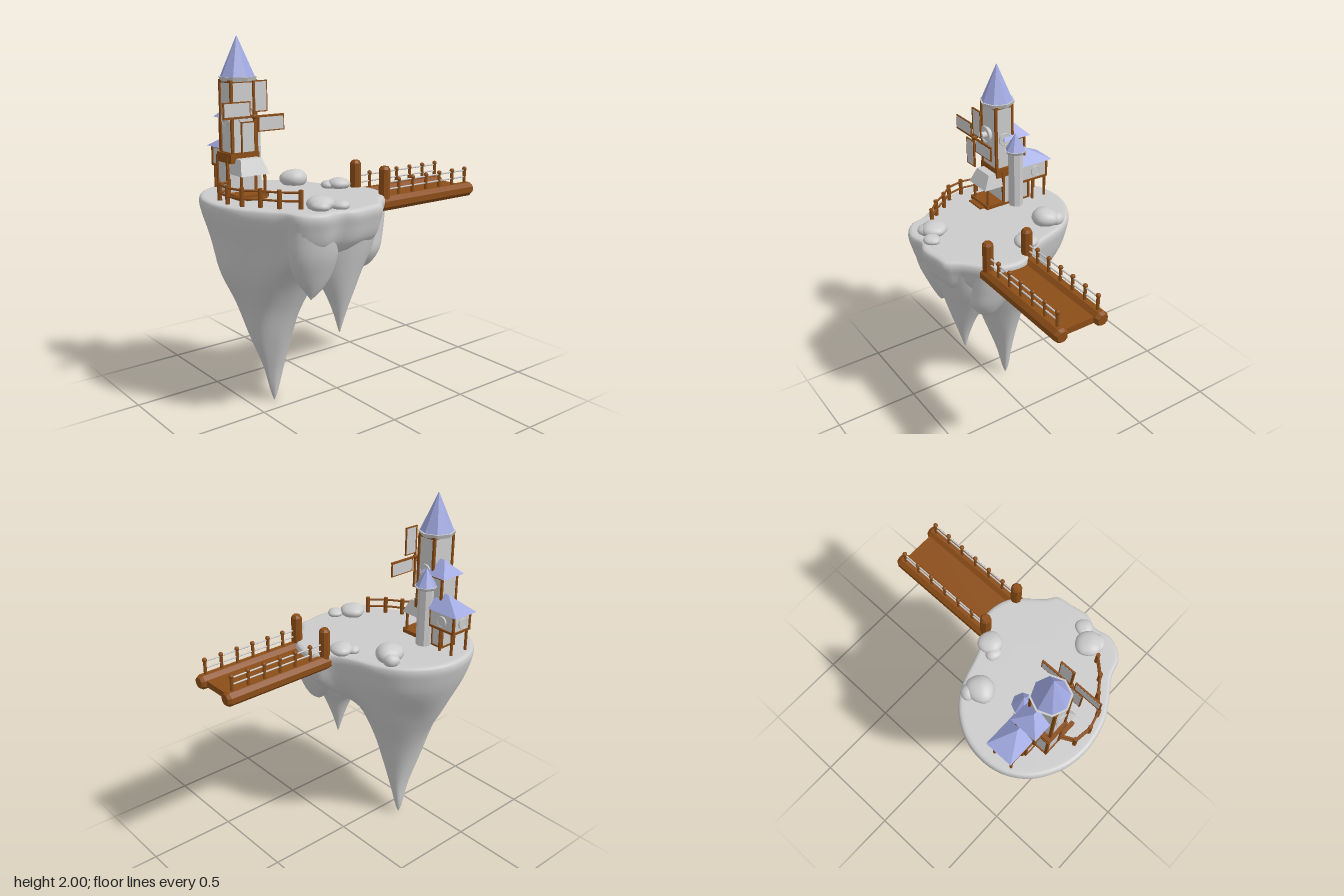
import * as THREE from 'three';

const grey = new THREE.MeshStandardMaterial({ color: 0xcccccc, side: THREE.DoubleSide });
const brown = new THREE.MeshStandardMaterial({ color: 0x8b4d17 });
const blue = new THREE.MeshStandardMaterial({ color: 0xa0a8e0 });
const V = (x, y, z) => new THREE.Vector3(x, y, z);
const GROUND = 1.18;

function add(parent, name, geo, mat, x = 0, y = 0, z = 0) {
  const m = new THREE.Mesh(geo, mat);
  m.name = name;
  m.position.set(x, y, z);
  parent.add(m);
  return m;
}
function group(parent, name) {
  const g = new THREE.Group();
  g.name = name;
  parent.add(g);
  return g;
}
const flat = (geo) => { const g = geo.toNonIndexed(); g.computeVertexNormals(); return g; };

// Box given by its limits on each axis
function block(parent, name, mat, x0, x1, y0, y1, z0, z1) {
  return add(parent, name, new THREE.BoxGeometry(x1 - x0, y1 - y0, z1 - z0), mat, (x0 + x1) / 2, (y0 + y1) / 2, (z0 + z1) / 2);
}
// Round bar between two points
function bar(parent, name, mat, a, b, r, sides = 8) {
  const m = add(parent, name, new THREE.CylinderGeometry(r, r, a.distanceTo(b), sides), mat);
  m.position.copy(a).lerp(b, 0.5);
  m.quaternion.setFromUnitVectors(V(0, 1, 0), b.clone().sub(a).normalize());
  return m;
}
// Skin closed rings, listed from the bottom up
function skin(rows) {
  const n = rows[0].length, pos = [], idx = [];
  rows.forEach((r) => r.forEach((p) => pos.push(p.x, p.y, p.z)));
  for (let j = 0; j < rows.length - 1; j++) for (let i = 0; i < n; i++) {
    const k = (i + 1) % n, a = j * n + i, b = j * n + k;
    idx.push(a, a + n, b, b, a + n, b + n);
  }
  const g = new THREE.BufferGeometry();
  g.setAttribute('position', new THREE.Float32BufferAttribute(pos, 3));
  g.setIndex(idx);
  g.computeVertexNormals();
  return g;
}
// Smooth vertical interpolation between section rings
function loft(sections, steps) {
  const cols = sections[0].map((_, i) => new THREE.CatmullRomCurve3(sections.map((s) => s[i])).getPoints(steps));
  return Array.from({ length: steps + 1 }, (_, j) => cols.map((c) => c[j]));
}
const ellipse = (n, [y, cx, cz, rx, rz]) => Array.from({ length: n }, (_, i) => {
  const t = i / n * Math.PI * 2;
  return V(cx + rx * Math.cos(t), y, cz + rz * Math.sin(t));
});

// Floating rock: plateau outline shrinking to a tip, with hanging spikes
function island(parent) {
  const g = group(parent, 'island'), N = 96, cx = -0.03, cz = 0.33;
  const outline = [[.08, -.145], [.16, -.155], [.26, -.125], [.32, -.07], [.41, .03], [.455, .06], [.47, .145], [.485, .255],
    [.455, .33], [.47, .43], [.41, .535], [.31, .57], [.22, .63], [.1, .70], [-.02, .73], [-.115, .735], [-.24, .71],
    [-.385, .622], [-.465, .5], [-.487, .37], [-.46, .235], [-.37, .10], [-.25, .02], [-.1, -.03], [.02, -.085]];
  const rim = new THREE.CatmullRomCurve3(outline.map(([x, z]) => V(x, 0, z)), true).getSpacedPoints(N).slice(0, N);
  const ring = (y, s) => rim.map((p) => V(cx + (p.x - cx) * s, y, cz + (p.z - cz) * s));
  const cone = ([y, x, z, rx, rz]) => rim.map((p) => {
    const t = Math.atan2(p.z - cz, p.x - cx);
    const k = 1 + 0.035 * Math.sin(t * 5 + y * 6);
    return V(x + rx * k * Math.cos(t), y, z + rz * k * Math.sin(t));
  });
  const rows = loft([
    ...[[0, -.1, .365, .003, .003], [.05, -.1, .365, .018, .02], [.2, -.093, .37, .043, .06], [.4, -.085, .385, .098, .125],
      [.6, -.08, .385, .17, .19], [.8, -.065, .38, .28, .28]].map(cone),
    ring(1.0, .91), ring(1.1, .98), ring(1.15, 1), ring(1.175, .985), ring(GROUND + .003, .95)], 48);
  rows.push(ring(GROUND + .003, .9), ring(GROUND + .003, .5), ring(GROUND + .003, .001));
  add(g, 'islandBody', skin(rows), grey);
  const spikes = [
    [[.48, .28, .2, .003, .003], [.6, .28, .2, .038, .038], [.72, .275, .2, .078, .088], [.82, .255, .2, .125, .14],
      [.95, .26, .19, .155, .19], [1.1, .29, .18, .16, .2]],
    [[.71, .31, .405, .003, .003], [.76, .31, .39, .033, .055], [.83, .31, .39, .065, .105], [.95, .33, .40, .09, .14],
      [1.1, .34, .41, .105, .145]],
    [[.79, .24, .02, .003, .003], [.825, .24, .02, .05, .05], [.9, .23, .01, .105, .085], [1, .2, -.01, .135, .1],
      [1.1, .19, -.01, .145, .12]]];
  spikes.forEach((s) => add(g, 'rockSpike', skin(loft(s.map((e) => ellipse(32, e)), 20)), grey));
}

// Lumpy boulders resting on the plateau
function boulders(parent) {
  const g = group(parent, 'boulders');
  const list = [[-.225, .125, .072, .08, .085], [-.275, .09, .048, .045, .06], [0, -.015, .065, .065, .055],
    [-.03, .035, .045, .04, .04], [.345, .37, .07, .07, .065], [.375, .395, .055, .05, .05], [.405, .29, .045, .048, .04]];
  list.forEach(([x, z, rx, rz, h], i) => {
    const geo = new THREE.SphereGeometry(1, 24, 16), p = geo.attributes.position;
    for (let k = 0; k < p.count; k++) {
      const v = V(0, 0, 0).fromBufferAttribute(p, k);
      v.multiplyScalar(1 + 0.06 * Math.sin(v.x * 3 + i * 2) * Math.cos(v.z * 3 + i));
      p.setXYZ(k, v.x * rx, v.y * h * .6, v.z * rz);
    }
    geo.computeVertexNormals();
    add(g, 'boulder', geo, grey, x, GROUND + h * .42, z);
  });
}

// Bridge with log beams, tall gate posts and rope railings
function bridge(parent) {
  const g = group(parent, 'bridge');
  block(g, 'deck', brown, .07, .265, 1.115, 1.15, -.713, -.05);
  for (const x of [.048, .288]) {
    const log = add(g, 'sideBeam', flat(new THREE.CylinderGeometry(.041, .041, .65, 8)), brown, x, 1.133, -.396);
    log.rotation.set(Math.PI / 2, Math.PI / 8, 0);
    for (const s of [-1, 1]) {
      const cap = add(g, 'beamEnd', flat(new THREE.CylinderGeometry(.03, .041, .018, 8)), brown, x, 1.133, -.396 + s * .334);
      cap.rotation.set(s * Math.PI / 2, s * Math.PI / 8, 0);
    }
    add(g, 'gatePost', flat(new THREE.CylinderGeometry(.03, .03, .2, 8)), brown, x, 1.215, -.093);
    add(g, 'gatePostCap', flat(new THREE.CylinderGeometry(.02, .03, .015, 8)), brown, x, 1.322, -.093);
    for (let i = 0; i < 6; i++) {
      const z = -.193 - .1 * i;
      bar(g, 'railPost', brown, V(x, 1.16, z), V(x, 1.25, z), .009);
      add(g, 'railKnob', new THREE.SphereGeometry(.013, 10, 8), brown, x, 1.25, z);
    }
    for (const y of [1.205, 1.242]) bar(g, 'railRope', grey, V(x, y, -.1), V(x, y, -.7), .0045);
  }
}

// Curved front fence
function fence(parent) {
  const g = group(parent, 'fence');
  const pts = [[-.147, .59], [-.108, .667], [-.01, .68], [.085, .655], [.155, .593], [.237, .537], [.308, .46]];
  pts.forEach(([x, z], i) => {
    bar(g, 'fencePost', brown, V(x, GROUND, z), V(x, 1.277, z), .012);
    if (!i) return;
    const [px, pz] = pts[i - 1];
    for (const y of [1.222, 1.264]) bar(g, 'fenceRail', brown, V(px, y, pz), V(x, y, z), .006);
  });
}

// Plaster box with timber corner posts and edge beams
function framed(parent, name, x0, x1, y0, y1, z0, z1, t = .012) {
  const g = group(parent, name), e = t / 2;
  block(g, 'walls', grey, x0 + e, x1 - e, y0 + e, y1 - e, z0 + e, z1 - e);
  for (const x of [x0, x1 - t]) for (const z of [z0, z1 - t]) block(g, 'cornerPost', brown, x, x + t, y0, y1, z, z + t);
  for (const y of [y0, y1 - t]) {
    for (const x of [x0, x1 - t]) block(g, 'sideBeam', brown, x, x + t, y, y + t, z0 + t, z1 - t);
    for (const z of [z0, z1 - t]) block(g, 'crossBeam', brown, x0 + t, x1 - t, y, y + t, z, z + t);
  }
}
// Hipped roof whose ridge spans r0..r1 along x and is topDepth deep
function hipRoof(parent, name, mat, x0, x1, y0, y1, z0, z1, r0, r1, topDepth = .001) {
  const geo = new THREE.BoxGeometry(1, 1, 1), p = geo.attributes.position, cz = (z0 + z1) / 2;
  for (let i = 0; i < p.count; i++) {
    const up = p.getY(i) > 0, right = p.getX(i) > 0, s = Math.sign(p.getZ(i));
    p.setXYZ(i, up ? (right ? r1 : r0) : (right ? x1 : x0), up ? y1 : y0, up ? cz + s * topDepth / 2 : (s > 0 ? z1 : z0));
  }
  add(parent, name, flat(geo), mat);
}
// Round window facing along a unit axis
function roundWindow(parent, pos, axis, r) {
  bar(parent, 'windowPane', grey, pos, pos.clone().addScaledVector(axis, .008), r, 20);
  const ring = add(parent, 'windowRing', new THREE.TorusGeometry(r - .002, .003, 8, 20), grey);
  ring.position.copy(pos).addScaledVector(axis, .007);
  ring.quaternion.setFromUnitVectors(V(0, 0, 1), axis);
}

function buildings(parent) {
  const g = group(parent, 'millHouse');
  // main tower
  framed(g, 'towerBase', -.25, -.14, GROUND, 1.395, .42, .60, .014);
  block(g, 'corbel', brown, -.245, -.105, 1.36, 1.41, .425, .597);
  framed(g, 'towerShaft', -.225, -.105, 1.4, 1.78, .432, .588, .014);
  add(g, 'towerEaves', flat(new THREE.CylinderGeometry(.1, .092, .022, 8)), grey, -.167, 1.784, .508);
  add(g, 'towerRoof', flat(new THREE.ConeGeometry(.092, .208, 8)), blue, -.167, 1.896, .508);
  roundWindow(g, V(-.165, 1.585, .582), V(0, 0, 1), .037);
  roundWindow(g, V(-.165, 1.585, .438), V(0, 0, -1), .037);
  // middle house, room on stilts and the store below it
  framed(g, 'middleHouse', -.3, -.2, 1.39, 1.58, .425, .55);
  hipRoof(g, 'middleRoof', blue, -.323, -.15, 1.58, 1.655, .412, .567, -.25, -.2);
  framed(g, 'store', -.325, -.24, GROUND, 1.31, .42, .53);
  framed(g, 'sideRoom', -.43, -.245, 1.305, 1.415, .39, .525);
  hipRoof(g, 'sideRoof', blue, -.453, -.25, 1.41, 1.487, .378, .537, -.32, -.25);
  for (const x of [-.415, -.33]) for (const z of [.4, .512]) bar(g, 'stilt', brown, V(x, GROUND, z), V(x, 1.31, z), .008);
  roundWindow(g, V(-.427, 1.36, .4575), V(-1, 0, 0), .03);
  roundWindow(g, V(-.345, 1.36, .393), V(0, 0, -1), .03);
  // slim back turret
  add(g, 'turret', flat(new THREE.CylinderGeometry(.043, .043, .34, 8)), grey, -.213, 1.35, .397);
  add(g, 'turretEaves', flat(new THREE.CylinderGeometry(.064, .055, .016, 8)), grey, -.213, 1.517, .397);
  add(g, 'turretRoof', flat(new THREE.ConeGeometry(.059, .1, 8)), blue, -.213, 1.573, .397);
  // porch
  hipRoof(g, 'porchRoof', grey, -.145, -.02, 1.305, 1.385, .42, .59, -.145, -.06, .125);
  block(g, 'porchFloor', brown, -.14, -.03, GROUND, 1.205, .42, .6);
  block(g, 'porchStep', brown, -.03, 0, GROUND, 1.192, .45, .57);
  for (const z of [.435, .575]) bar(g, 'porchPost', brown, V(-.045, 1.2, z), V(-.045, 1.31, z), .008);
}

// Pinwheel sails on the +x face of the tower
function windmill(parent) {
  const g = group(parent, 'windmill');
  g.position.set(0, 1.605, .512);
  bar(g, 'axle', brown, V(-.11, 0, 0), V(0, 0, 0), .007);
  bar(g, 'hubPlate', grey, V(-.108, 0, 0), V(-.09, 0, 0), .04, 16);
  const gear = add(g, 'gearRing', new THREE.TorusGeometry(.045, .006, 8, 16), grey, -.088);
  gear.rotation.y = Math.PI / 2;
  bar(g, 'hubCollar', grey, V(-.092, 0, 0), V(-.06, 0, 0), .018, 12);
  add(g, 'hub', new THREE.SphereGeometry(.014, 12, 8), brown, -.012);
  for (let i = 0; i < 4; i++) {
    const s = group(g, 'sail');
    s.rotation.x = i * Math.PI / 2;
    block(s, 'spar', brown, -.017, -.007, 0, .178, -.005, .005);
    block(s, 'sailFrame', brown, -.016, -.008, .022, .178, -.078, -.002);
    block(s, 'sailCloth', grey, -.0168, -.0072, .028, .172, -.072, -.006);
  }
}

export function createModel() {
  const model = new THREE.Group();
  model.name = 'floatingIsland';
  [island, boulders, bridge, fence, buildings, windmill].forEach((build) => build(model));
  return model;
}
